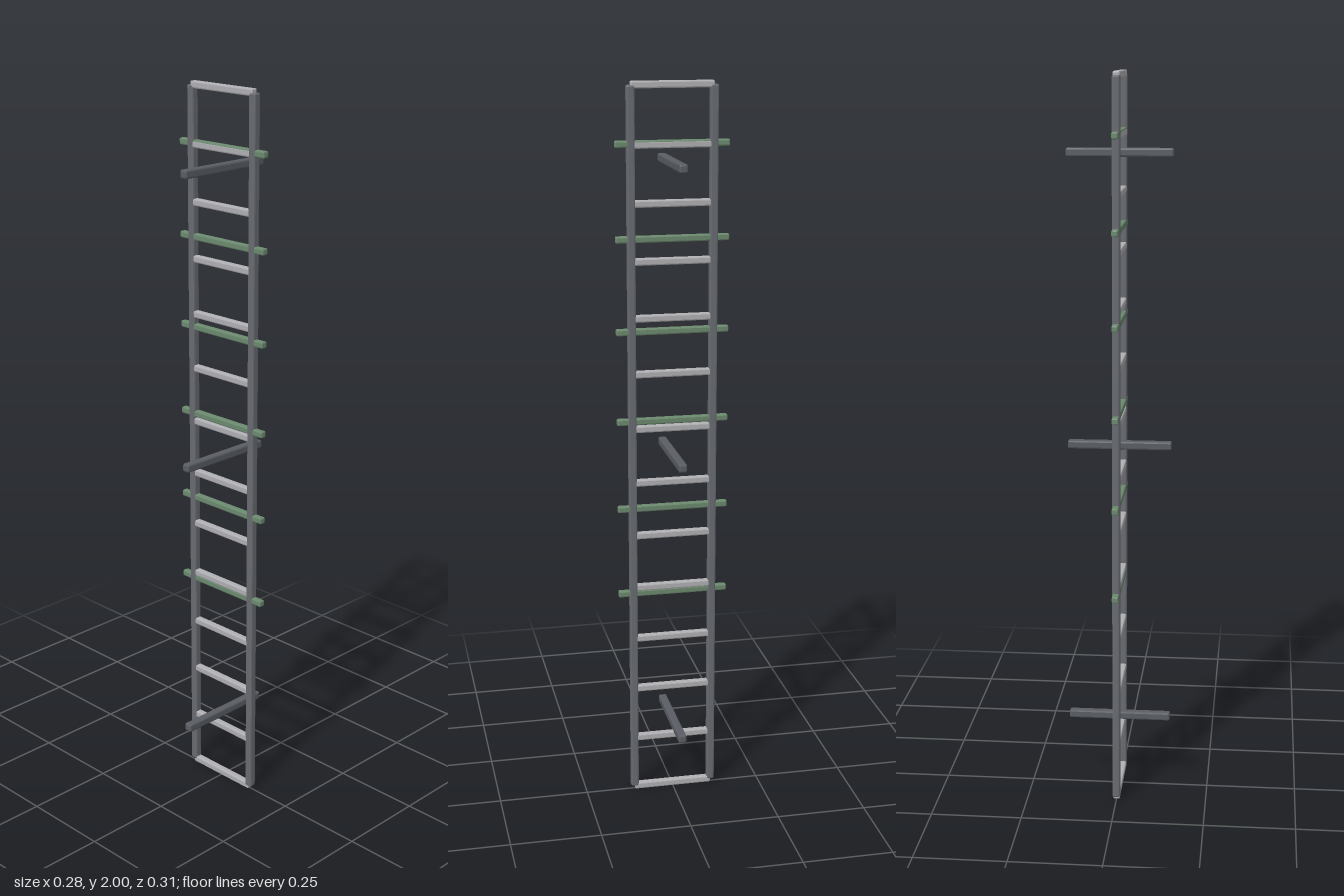
import * as THREE from 'three';
import { RoundedBoxGeometry } from 'three/addons/geometries/RoundedBoxGeometry.js';

const material = (color) => new THREE.MeshStandardMaterial({ color, flatShading: true });

export function createModel() {
  const model = new THREE.Group();
  const railMat = material(0x686b71);
  const rungMat = material(0xb0b0b4);
  const tieMat = material(0x6b8a6e);
  const barMat = material(0x5a5e64);

  // Square bar with chamfered edges, centred at (0, y, z)
  function bar(name, size, y, z, mat) {
    const chamfer = Math.min(...size) * 0.2;
    const mesh = new THREE.Mesh(new RoundedBoxGeometry(...size, 1, chamfer), mat);
    mesh.name = name;
    mesh.position.set(0, y, z);
    model.add(mesh);
  }

  // Two upright rails
  for (const side of [-1, 1]) {
    bar(side > 0 ? 'frontRail' : 'backRail', [0.021, 1.98, 0.022], 1, side * 0.111, railMat);
  }

  // Fourteen evenly spaced rungs between the rails
  for (let i = 0; i < 14; i++) {
    bar(`rung${i + 1}`, [0.019, 0.019, 0.222], 0.0095 + (i * 1.981) / 13, 0, rungMat);
  }

  // Six tie bars that reach past the rails
  for (let i = 0; i < 6; i++) {
    bar(`tieBar${i + 1}`, [0.018, 0.018, 0.306], 0.603 + i * 0.2475, 0, tieMat);
  }

  // Three cross bars through the middle of the frame
  for (let i = 0; i < 3; i++) {
    bar(`crossBar${i + 1}`, [0.285, 0.023, 0.023], 0.21 + i * 0.79, 0, barMat);
  }

  return model;
}
